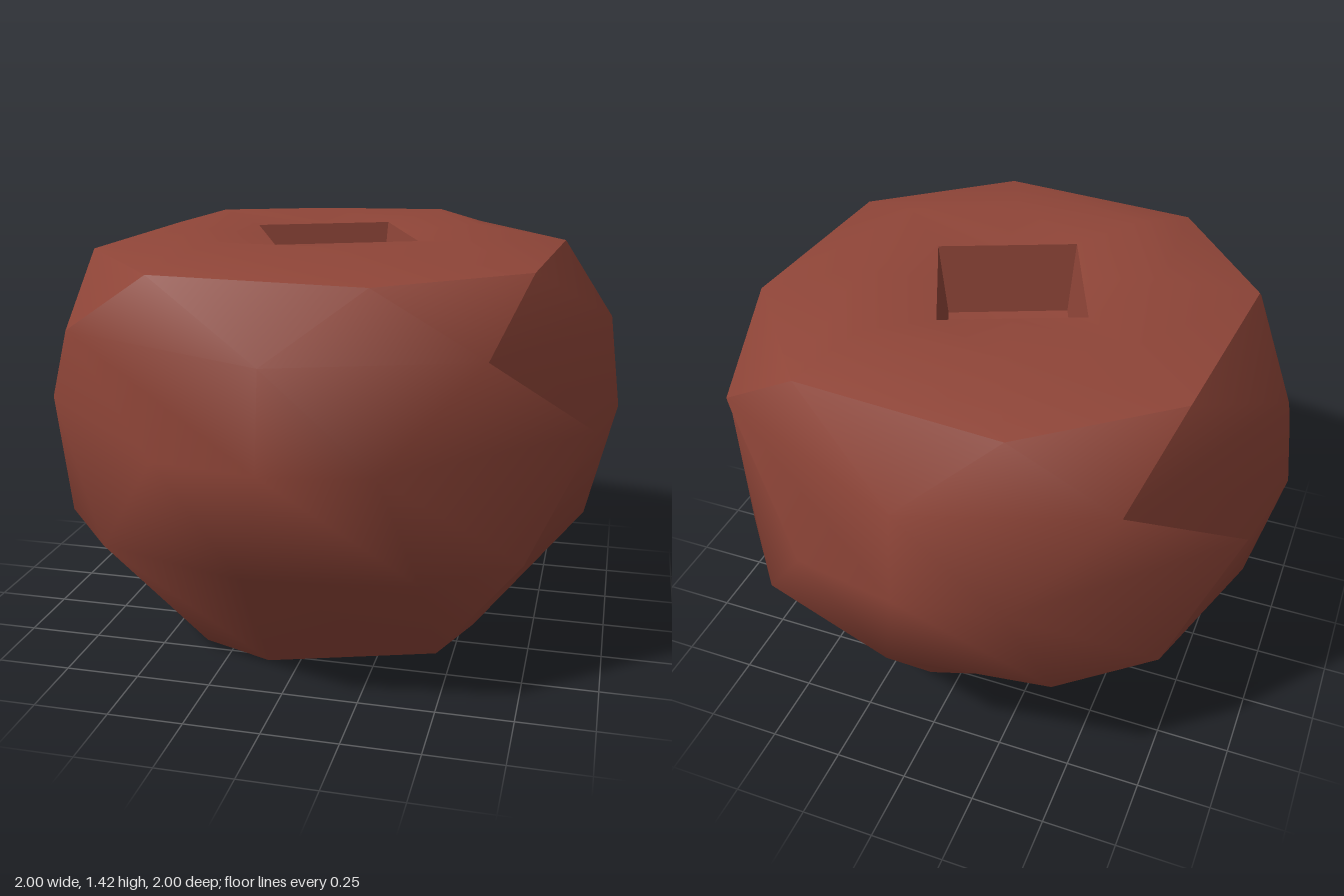
import * as THREE from 'three';
import { mergeVertices, toCreasedNormals } from 'three/addons/utils/BufferGeometryUtils.js';

// Point given as [radius, height, angle in degrees], turned by whole quarters
const at = ([r, y, deg], quarter = 0) => {
  const a = THREE.MathUtils.degToRad(deg + quarter * 90);
  return [r * Math.cos(a), y, r * Math.sin(a)];
};

// Rows of one quarter: low-angle corner, middle, high-angle corner
const side = [
  [[0.57, 0, -51], [0.55, 0, 11], [0.57, 0, 39]],
  [[0.95, 0.46, -29], [0.91, 0.46, 5], [0.955, 0.46, 38.6]],
  [[1, 0.83, -20], [1, 0.83, 0], [1, 0.83, 20]],
  [[0.97, 1.14, -40.4], [0.96, 1.14, 0], [0.97, 1.14, 49.6]],
  [[0.84, 1.35, -60], [0.83, 1.35, -20], [0.84, 1.35, 30]],
];
// Flat facet between neighbouring panels, from the high corner to the next low corner
const corner = side.slice(0, 4).map(([a, , b]) => [b, [a[0], a[1], a[2] + 90]]);
// Shoulder running inward from the rim to the square hollow
const shoulder = [
  side[4],
  [[0.58, 1.42, -59], [0.5, 1.415, -17], [0.58, 1.42, 31]],
  [[0.34, 1.39, -68], [0.24, 1.39, -23], [0.34, 1.39, 22]],
];
const hollow = [
  shoulder[2],
  [[0.3, 1.14, -68], [0.212, 1.14, -23], [0.3, 1.14, 22]],
  [[0, 1.12, 0], [0, 1.12, 0], [0, 1.12, 0]],
];
const base = [[[0, 0, 0], [0, 0, 0], [0, 0, 0]], side[0]];

// Triangles of a grid of rows
function strip(rows, quarter) {
  const out = [];
  for (let i = 0; i < rows.length - 1; i++) {
    for (let j = 0; j < rows[i].length - 1; j++) {
      const [a, b, c, d] = [rows[i][j], rows[i][j + 1], rows[i + 1][j + 1], rows[i + 1][j]]
        .map((p) => at(p, quarter));
      out.push(...a, ...d, ...c, ...a, ...c, ...b);
    }
  }
  return out;
}

// Smooth surface from several strips
function surface(parts) {
  const geo = new THREE.BufferGeometry();
  const pos = parts.flatMap(([rows, quarter]) => strip(rows, quarter));
  geo.setAttribute('position', new THREE.Float32BufferAttribute(pos, 3));
  const merged = mergeVertices(geo, 1e-3);
  merged.computeVertexNormals();
  return merged;
}

export function createModel() {
  const group = new THREE.Group();
  const clay = new THREE.MeshStandardMaterial({ color: 0x8f4538 });
  clay.name = 'red brown';
  const add = (name, geo) => {
    const mesh = new THREE.Mesh(geo, clay);
    mesh.name = name;
    group.add(mesh);
  };
  const allRound = (rows) => [0, 1, 2, 3].map((q) => [rows, q]);

  // Left and right panels stand alone, front and back wrap over the corner facets
  add('leftPanel', surface([[side, 0]]));
  add('rightPanel', surface([[side, 2]]));
  add('frontPanel', surface([[corner, 0], [side, 1], [corner, 1]]));
  add('backPanel', surface([[corner, 2], [side, 3], [corner, 3]]));

  // Top with its hollow, and the flat base
  add('shoulder', toCreasedNormals(surface(allRound(shoulder)), 0.5));
  add('hollow', toCreasedNormals(surface(allRound(hollow)), 0.5));
  add('base', surface(allRound(base)));
  return group;
}
